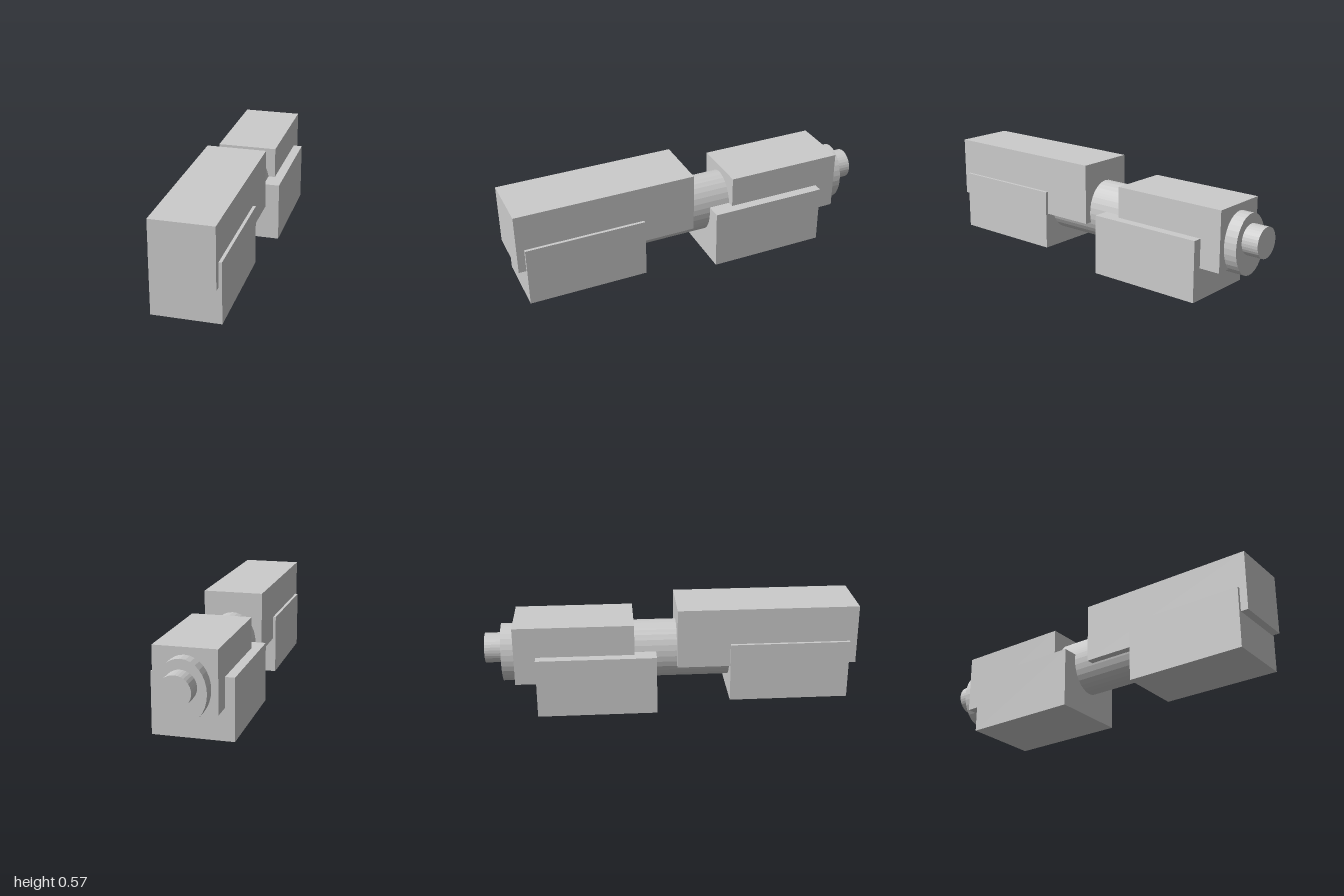
import * as THREE from 'three';

export function createModel() {
  const group = new THREE.Group();
  const material = new THREE.MeshStandardMaterial({ color: 0xcccccc, flatShading: true });

  const add = (name, geometry, y, z) => {
    const mesh = new THREE.Mesh(geometry, material);
    mesh.name = name;
    mesh.position.set(0, y, z);
    group.add(mesh);
  };

  // Box centred on x, given by its width and its y and z ranges
  const block = (name, width, y0, y1, z0, z1) =>
    add(name, new THREE.BoxGeometry(width, y1 - y0, z1 - z0), (y0 + y1) / 2, (z0 + z1) / 2);

  // Cylinder along z with an elliptical section
  const rod = (name, rx, ry, y, z0, z1) => {
    const geometry = new THREE.CylinderGeometry(1, 1, z1 - z0, 32);
    geometry.rotateX(Math.PI / 2).scale(rx, ry, 1);
    add(name, geometry, y, (z0 + z1) / 2);
  };

  // Front pair of blocks
  block('frontUpperBlock', 0.324, 0.242, 0.567, 0.03, 1);
  block('frontLowerBlock', 0.356, 0.046, 0.37, 0.315, 0.96);

  // Rear pair of blocks
  block('rearUpperBlock', 0.324, 0.17, 0.492, -0.84, -0.2);
  block('rearLowerBlock', 0.424, 0, 0.325, -0.725, -0.083);

  // Oval shaft joining the blocks, with a thin pin at the back
  rod('mainShaft', 0.128, 0.161, 0.294, -0.91, 0.8);
  rod('endPin', 0.081, 0.081, 0.322, -1, -0.85);

  return group;
}
